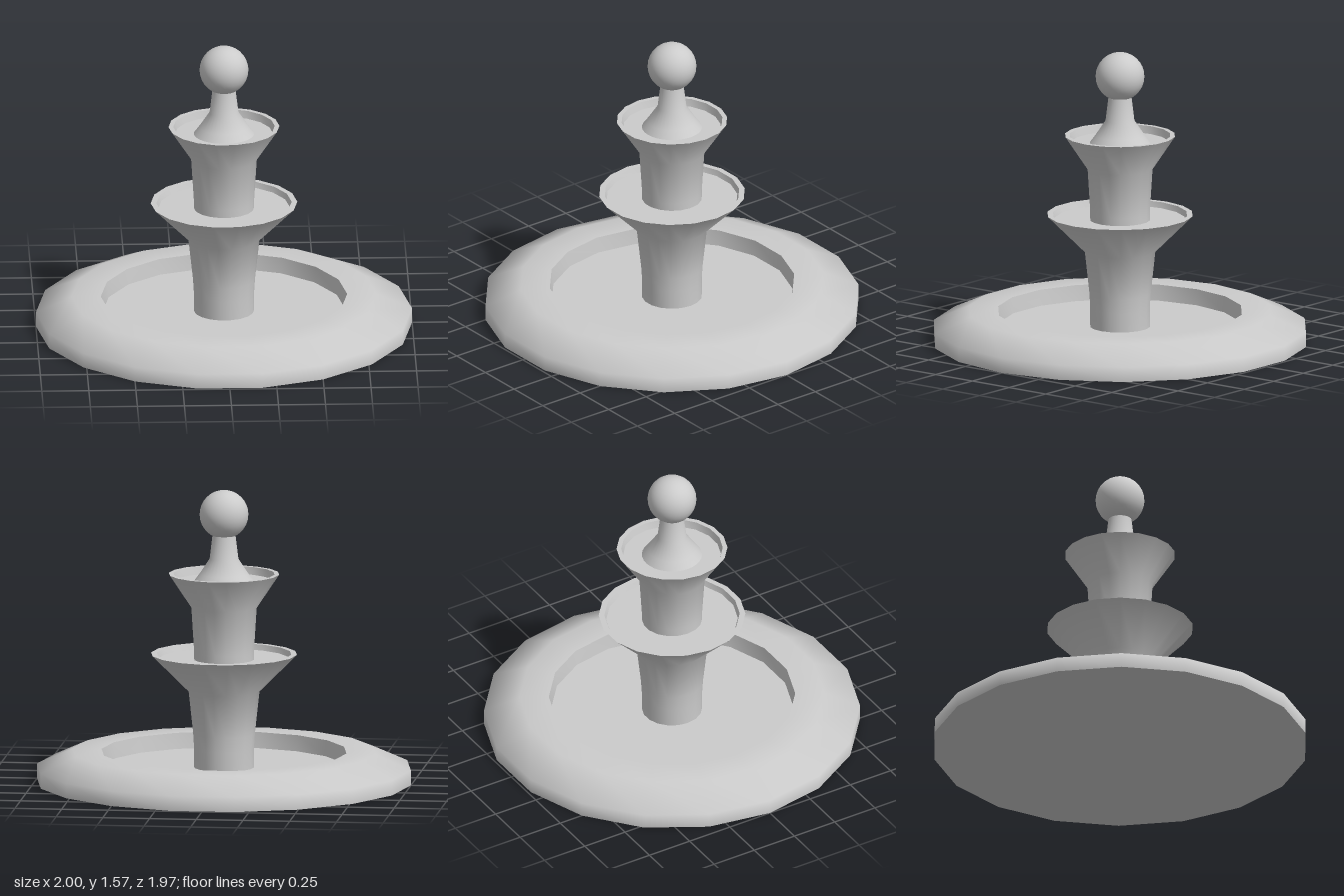
import * as THREE from 'three';
import { toCreasedNormals } from 'three/addons/utils/BufferGeometryUtils.js';

const material = new THREE.MeshStandardMaterial({ color: 0xcccccc });

export function createModel() {
  const fountain = new THREE.Group();
  fountain.name = 'fountain';

  // Turn a profile of [radius, height] points, listed from bottom to top
  const turn = (name, profile, sides) => {
    const points = profile.map(([r, y]) => new THREE.Vector2(r, y));
    const lathe = new THREE.LatheGeometry(points, sides, Math.PI / 2);
    const mesh = new THREE.Mesh(toCreasedNormals(lathe, THREE.MathUtils.degToRad(70)), material);
    mesh.name = name;
    fountain.add(mesh);
  };

  // Wide pool with a sloped rim and a sunken floor
  turn('pool', [
    [0, 0], [1, 0], [1, 0.08], [0.81, 0.165],
    [0.655, 0.165], [0.645, 0.08], [0, 0.08],
  ], 18);

  // Lower column flaring into a shallow bowl
  turn('lowerBowl', [
    [0.16, 0.07], [0.16, 0.18], [0.165, 0.26], [0.19, 0.49],
    [0.39, 0.69], [0.36, 0.69], [0.35, 0.66], [0, 0.66],
  ], 18);

  // Upper column and bowl
  turn('upperBowl', [
    [0.16, 0.65], [0.16, 0.7], [0.175, 0.94],
    [0.295, 1.12], [0.27, 1.12], [0.26, 1.08], [0, 1.08],
  ], 18);

  // Tapered stem carrying the ball
  turn('stem', [
    [0.16, 1.08], [0.13, 1.12], [0.077, 1.2], [0.06, 1.34], [0, 1.34],
  ], 32);

  const ball = new THREE.Mesh(new THREE.SphereGeometry(0.13, 32, 16), material);
  ball.name = 'ball';
  ball.position.y = 1.44;
  fountain.add(ball);

  return fountain;
}
